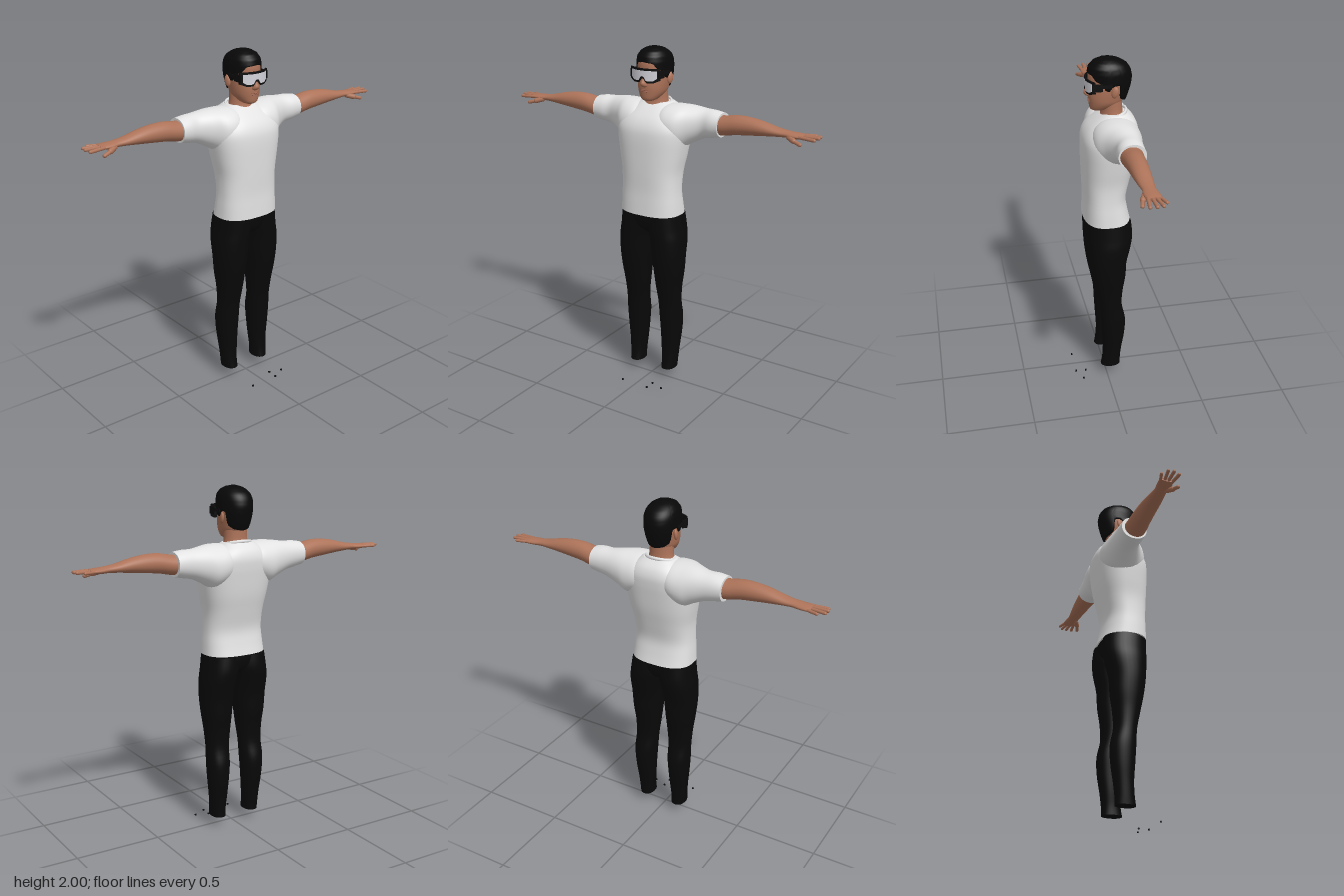
import * as THREE from 'three';

const mat = (name, color) => {
  const m = new THREE.MeshStandardMaterial({ color });
  m.name = name;
  return m;
};

// Smooth value of a table of rows [t, ...values] at fractional row index
function rowAt(rows, u) {
  const n = rows.length - 1, i = Math.min(Math.floor(u), n - 1), f = u - i;
  const [p, a, b, c] = [i - 1, i, i + 1, i + 2].map(k => rows[Math.max(0, Math.min(n, k))]);
  return a.map((v, k) => 0.5 * (2 * v + (b[k] - p[k]) * f + (2 * p[k] - 5 * v + 4 * b[k] - c[k]) * f * f
    + (3 * v - p[k] - 3 * b[k] + c[k]) * f * f * f));
}

// Ring surface: point(j, i) gives a position; rings wrap around
function rings(count, sides, point, flip) {
  const pos = [], idx = [];
  for (let j = 0; j < count; j++) for (let i = 0; i < sides; i++) {
    pos.push(...point(j, i / sides * Math.PI * 2));
    if (j === count - 1) continue;
    const a = j * sides + i, b = j * sides + (i + 1) % sides, c = a + sides, d = b + sides;
    if (flip) idx.push(a, c, b, b, c, d); else idx.push(a, b, c, b, d, c);
  }
  const g = new THREE.BufferGeometry();
  g.setAttribute('position', new THREE.Float32BufferAttribute(pos, 3));
  g.setIndex(idx);
  g.computeVertexNormals();
  return g;
}

// Loft through rows [t, aMin, aMax, bMin, bMax]; axis y uses a=x, b=z; axis x uses a=y, b=z
function loft(rows, axis = 'y', power = 1, sides = 32) {
  const list = [];
  const steps = (rows.length - 1) * 4;
  for (let s = 0; s <= steps; s++) list.push([...rowAt(rows, s / 4), 1]);
  const first = list[0], last = list[steps];
  list.unshift([...first.slice(0, 5), 0], first);
  list.push(last, [...last.slice(0, 5), 0]);
  const sp = v => Math.sign(v) * Math.abs(v) ** power;
  return rings(list.length, sides, (j, t) => {
    const [h, a0, a1, b0, b1, k] = list[j];
    const a = (a0 + a1) / 2 + (a1 - a0) / 2 * k * sp(Math.cos(t));
    const b = (b0 + b1) / 2 + (b1 - b0) / 2 * k * sp(Math.sin(t));
    return axis === 'y' ? [a, h, b] : [h, a, b];
  }, axis === 'y');
}

// Rows of a limb mirrored to the other side
const sideY = (rows, s) => rows.map(([y, a, b, c, d]) => s > 0 ? [y, a, b, c, d] : [y, -b, -a, c, d]);
const sideX = (rows, s) => s > 0 ? rows : rows.map(([x, ...r]) => [-x, ...r]).reverse();

// Linear lookup in a table of [key, value]
function lookup(table, x) {
  for (let i = 1; i < table.length; i++) if (x <= table[i][0]) {
    const [x0, y0] = table[i - 1], [x1, y1] = table[i];
    return y0 + (y1 - y0) * (x - x0) / (x1 - x0);
  }
  return table[table.length - 1][1];
}

export function createModel() {
  const model = new THREE.Group();
  model.name = 'man';
  const skin = mat('skin', 0xad7359), lip = mat('lips', 0x9c6350), shirt = mat('shirt white', 0xe2e2e2);
  const black = mat('trouser black', 0x080808), hairMat = mat('hair black', 0x080808);
  const frameMat = mat('frame black', 0x0e0e0e), lensMat = mat('lens silver', 0xd4d4dc);
  const add = (name, geo, m, parent = model) => {
    const mesh = new THREE.Mesh(geo, m);
    mesh.name = name;
    parent.add(mesh);
    return mesh;
  };

  // Shirt body
  add('shirtBody', loft([
    [1.055, -0.185, 0.185, -0.145, 0.12], [1.12, -0.181, 0.181, -0.13, 0.118], [1.2, -0.176, 0.176, -0.12, 0.116],
    [1.3, -0.178, 0.178, -0.14, 0.12], [1.4, -0.195, 0.195, -0.163, 0.123], [1.5, -0.21, 0.21, -0.178, 0.124],
    [1.56, -0.21, 0.21, -0.185, 0.116], [1.61, -0.187, 0.187, -0.185, 0.09], [1.655, -0.14, 0.14, -0.167, 0.045],
    [1.69, -0.09, 0.09, -0.13, 0.0]], 'y', 0.78, 48), shirt);

  // Shoulders and sleeves, one span from cuff to cuff, sinking into the body towards the middle
  const half = [
    [0.04, 1.5, 1.67, -0.15, 0.05], [0.1, 1.47, 1.685, -0.18, 0.08], [0.17, 1.445, 1.688, -0.182, 0.074],
    [0.23, 1.475, 1.684, -0.17, 0.03], [0.3, 1.508, 1.674, -0.157, -0.004], [0.36, 1.52, 1.672, -0.152, 0.0],
    [0.41, 1.53, 1.664, -0.15, 0.0]];
  add('sleeves', loft([...sideX(half, -1), ...half], 'x', 0.95, 40), shirt);

  // Collar ring, higher at the back
  const collar = new THREE.TorusGeometry(0.086, 0.008, 8, 40);
  collar.rotateX(Math.PI / 2).scale(1, 1.2, 0.94).rotateX(0.26).translate(0, 1.677, -0.048);
  add('collar', collar, shirt);

  // Trousers
  add('hips', loft([
    [0.93, -0.07, 0.07, -0.07, 0.04], [0.97, -0.16, 0.16, -0.12, 0.085], [1.02, -0.184, 0.184, -0.138, 0.104],
    [1.075, -0.178, 0.178, -0.135, 0.108]], 'y', 0.85), black);
  const leg = [
    [0.066, 0.068, 0.153, -0.083, 0.035], [0.12, 0.067, 0.158, -0.083, 0.026], [0.2, 0.06, 0.165, -0.092, 0.022],
    [0.3, 0.054, 0.175, -0.107, 0.028], [0.4, 0.047, 0.181, -0.11, 0.034], [0.5, 0.043, 0.179, -0.09, 0.04],
    [0.6, 0.033, 0.184, -0.095, 0.06], [0.7, 0.024, 0.196, -0.11, 0.08], [0.8, 0.013, 0.204, -0.116, 0.093],
    [0.9, 0.004, 0.204, -0.14, 0.1], [0.97, -0.01, 0.194, -0.15, 0.104], [1.05, -0.01, 0.183, -0.143, 0.106]];
  // Bare arm
  const arm = [
    [0.36, 1.54, 1.655, -0.135, -0.012], [0.42, 1.542, 1.652, -0.132, -0.008], [0.5, 1.557, 1.665, -0.122, -0.01],
    [0.58, 1.566, 1.664, -0.117, -0.014], [0.66, 1.575, 1.652, -0.112, -0.018], [0.74, 1.583, 1.632, -0.106, -0.026],
    [0.79, 1.586, 1.624, -0.102, -0.032], [0.83, 1.585, 1.62, -0.108, -0.028], [0.87, 1.588, 1.617, -0.112, -0.03],
    [0.895, 1.593, 1.613, -0.108, -0.036]];
  // Finger segments: start, end, radius
  const fingers = [
    [[0.87, 1.603, -0.041], [0.968, 1.6, -0.031], 0.0095], [[0.87, 1.604, -0.061], [0.978, 1.605, -0.064], 0.0095],
    [[0.87, 1.604, -0.08], [0.975, 1.605, -0.096], 0.009], [[0.865, 1.602, -0.099], [0.94, 1.603, -0.121], 0.0085],
    [[0.81, 1.597, -0.046], [0.86, 1.582, -0.02], 0.015], [[0.86, 1.582, -0.02], [0.9, 1.571, -0.01], 0.0105]];
  for (const s of [1, -1]) {
    const side = s > 0 ? 'left' : 'right';
    add(side + 'TrouserLeg', loft(sideY(leg, s), 'y', 0.92), black);
    add(side + 'Arm', loft(sideX(arm, s), 'x'), skin);
    for (const [a, b, r] of fingers) {
      const p = new THREE.Vector3(a[0] * s, a[1], a[2]), q = new THREE.Vector3(b[0] * s, b[1], b[2]);
      const f = add(side + 'Finger', new THREE.CapsuleGeometry(r, p.distanceTo(q) - r, 5, 10), skin);
      f.position.copy(p).lerp(q, 0.5);
      f.quaternion.setFromUnitVectors(new THREE.Vector3(0, 1, 0), q.sub(p).normalize());
    }
    // Ear
    const ear = add(side + 'Ear', new THREE.SphereGeometry(1, 14, 10), skin);
    ear.scale.set(0.011, 0.032, 0.019);
    ear.position.set(s * 0.088, 1.825, -0.048);
    ear.rotation.set(-0.2, s * -0.3, 0);
    // Spectacle arm, deeper at the hinge
    add(side + 'SpectacleArm', new THREE.BoxGeometry(0.006, 0.018, 0.1), frameMat).position.set(s * 0.091, 1.862, 0.016);
    add(side + 'SpectacleHinge', new THREE.BoxGeometry(0.007, 0.042, 0.055), frameMat).position.set(s * 0.0905, 1.857, 0.046);
  }

  // Neck, head and face
  add('neck', loft([
    [1.61, -0.1, 0.1, -0.12, 0.03], [1.66, -0.083, 0.083, -0.12, 0.022], [1.7, -0.069, 0.069, -0.106, 0.012],
    [1.78, -0.066, 0.066, -0.105, 0.015]]), skin);
  add('head', loft([
    [1.704, -0.025, 0.025, 0.0, 0.056], [1.715, -0.045, 0.045, -0.035, 0.073], [1.75, -0.07, 0.07, -0.1, 0.079],
    [1.79, -0.079, 0.079, -0.118, 0.082], [1.84, -0.084, 0.084, -0.138, 0.079], [1.89, -0.085, 0.085, -0.146, 0.083],
    [1.93, -0.08, 0.08, -0.142, 0.077], [1.965, -0.06, 0.06, -0.113, 0.045], [1.985, -0.025, 0.025, -0.06, 0.0]],
  'y', 0.93, 40), skin);
  add('nose', loft([
    [1.785, -0.01, 0.01, 0.065, 0.086], [1.793, -0.019, 0.019, 0.06, 0.1], [1.808, -0.017, 0.017, 0.06, 0.107],
    [1.83, -0.011, 0.011, 0.06, 0.097], [1.86, -0.01, 0.01, 0.06, 0.088]], 'y', 1, 16), skin);
  for (const y of [1.761, 1.768]) {
    const l = add('lip', new THREE.SphereGeometry(1, 16, 8), lip);
    l.scale.set(0.025, 0.004, 0.008);
    l.position.set(0, y, 0.077);
  }

  // Hair cap: falls from the crown to a hairline that depends on the angle from the front
  const hairline = [[0, 1.922], [0.55, 1.915], [0.8, 1.885], [1.15, 1.872], [1.3, 1.835], [1.5, 1.832], [1.6, 1.862],
    [1.95, 1.862], [2.1, 1.785], [2.5, 1.765], [3.2, 1.755]];
  // Hair extents by height: half width, back z, front z
  const width = [[1.75, 0.073], [1.8, 0.087], [1.85, 0.093], [1.92, 0.093], [1.95, 0.086], [1.975, 0.068], [1.99, 0.042], [2, 0]];
  const back = [[1.75, -0.12], [1.8, -0.138], [1.85, -0.152], [1.89, -0.157], [1.93, -0.149], [1.96, -0.128], [1.985, -0.085], [2, -0.025]];
  const front = [[1.83, 0.085], [1.92, 0.087], [1.95, 0.081], [1.975, 0.058], [1.99, 0.025], [2, -0.025]];
  const hairRows = 22;
  add('hair', rings(hairRows + 2, 64, (j, t) => {
    const a = t > Math.PI ? Math.PI * 2 - t : t;
    const u = Math.min(j / hairRows, 1);
    const y = 2 - (2 - lookup(hairline, a)) * u ** 1.7;
    const tuck = j > hairRows ? 0.86 : 1;
    const zb = lookup(back, y), zf = lookup(front, y);
    const sp = v => Math.sign(v) * Math.abs(v) ** 0.95;
    return [lookup(width, y) * sp(Math.sin(t)) * tuck, y, (zb + zf) / 2 + (zf - zb) / 2 * sp(Math.cos(t)) * tuck];
  }, true), hairMat);

  // Wraparound glasses: thin boxes bent around the face, with a nose notch
  const visor = (w, top, low, notch, z, depth) => {
    const g = new THREE.BoxGeometry(2 * w, 1, depth, 28, 1, 1), p = g.attributes.position;
    for (let i = 0; i < p.count; i++) {
      const x = p.getX(i), ax = Math.abs(x);
      const b = lookup([[0, notch], [0.008, notch], [0.024, low], [0.06, low], [w, low + 0.014]], ax);
      p.setY(i, p.getY(i) > 0 ? top : b);
      p.setZ(i, z - 3.8 * x * x + p.getZ(i));
    }
    g.computeVertexNormals();
    return g;
  };
  add('spectacleFrame', visor(0.093, 1.89, 1.812, 1.836, 0.095, 0.01), frameMat);
  add('lens', visor(0.08, 1.879, 1.823, 1.848, 0.099, 0.005), lensMat);

  // Small sole fragments on the ground
  for (const [x, z] of [[-0.09, 0.185], [0.083, 0.185], [0.16, 0.15], [0.085, 0.125]]) {
    add('soleFragment', new THREE.BoxGeometry(0.01, 0.008, 0.008), frameMat).position.set(x, 0.006, z);
  }
  return model;
}
